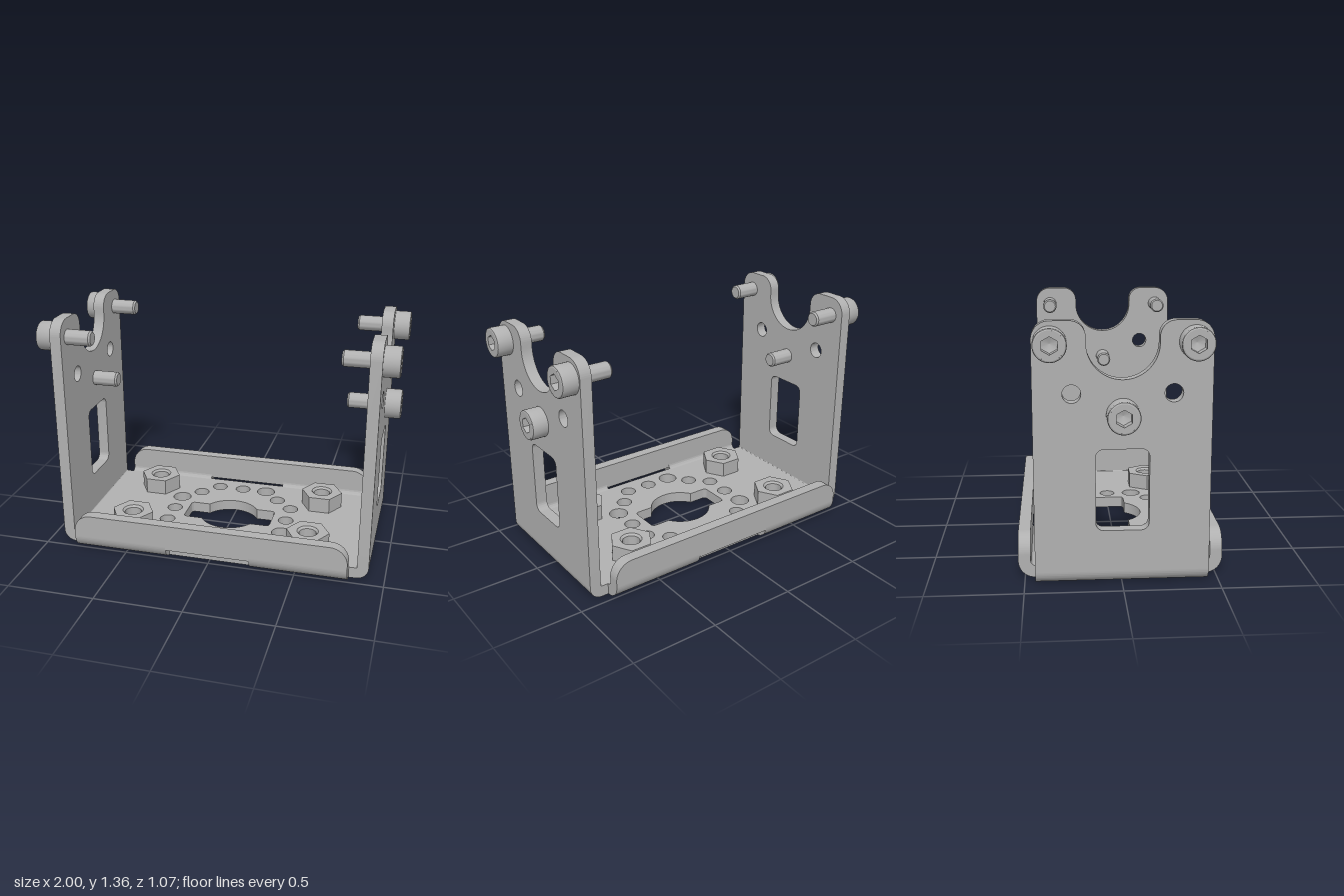
import * as THREE from 'three';
import { toCreasedNormals } from 'three/addons/utils/BufferGeometryUtils.js';

const T = 0.065;            // sheet thickness
const HALF_DEPTH = 0.445;   // half width of base and walls along z
const WALL_X = 0.91;        // outer face of the side walls
const FLANGE_Z = 0.535;     // outer face of the flanges
const HALF_PI = Math.PI / 2;

const steel = new THREE.MeshStandardMaterial({ color: 0xb0b0b0 });
steel.name = 'steel grey';

function mesh(name, geometry) {
  const m = new THREE.Mesh(toCreasedNormals(geometry, 0.6), steel);
  m.name = name;
  return m;
}

const extrude = (shape, depth) =>
  new THREE.ExtrudeGeometry(shape, { depth, bevelEnabled: false, curveSegments: 20 });

const circle = (x, y, r) => new THREE.Path().absarc(x, y, r, 0, Math.PI * 2, false);

const lathe = (points) =>
  new THREE.LatheGeometry(points.map(([x, y]) => new THREE.Vector2(x, y)), 36);

function hexPoints(r) {
  return Array.from({ length: 6 }, (_, i) =>
    new THREE.Vector2(r * Math.cos(i * Math.PI / 3), r * Math.sin(i * Math.PI / 3)));
}

function roundedRect(x0, y0, x1, y1, r) {
  const p = new THREE.Path();
  p.absarc(x1 - r, y0 + r, r, -HALF_PI, 0, false);
  p.absarc(x1 - r, y1 - r, r, 0, HALF_PI, false);
  p.absarc(x0 + r, y1 - r, r, HALF_PI, Math.PI, false);
  p.absarc(x0 + r, y0 + r, r, Math.PI, Math.PI * 1.5, false);
  p.closePath();
  return p;
}

// Quarter-round bend profile: flat sheet at y = 0 turning up to the outer face
function bendShape(outerFace, r) {
  const cx = outerFace - r;
  const s = new THREE.Shape();
  s.absarc(cx, r, r, -HALF_PI, 0, false);
  s.absarc(cx, r, r - T, 0, -HALF_PI, true);
  s.closePath();
  return s;
}

function basePlate() {
  const x = WALL_X - 0.07, z = HALF_DEPTH, tab = 0.245, tz = 0.46;
  const s = new THREE.Shape([
    [-x, -z], [-tab, -z], [-tab, -tz], [tab, -tz], [tab, -z], [x, -z],
    [x, z], [tab, z], [tab, tz], [-tab, tz], [-tab, z], [-x, z],
  ].map(([a, b]) => new THREE.Vector2(a, b)));

  // Central round opening with a slot across it
  const R = 0.18, h = 0.095, w = 0.27, c = 0.025, a = Math.asin(h / R);
  const slot = new THREE.Path();
  slot.absarc(0, 0, R, a, Math.PI - a, false);
  slot.lineTo(-w + c, h);
  slot.quadraticCurveTo(-w, h, -w, h - c);
  slot.lineTo(-w, -h + c);
  slot.quadraticCurveTo(-w, -h, -w + c, -h);
  slot.absarc(0, 0, R, Math.PI + a, Math.PI * 2 - a, false);
  slot.lineTo(w - c, -h);
  slot.quadraticCurveTo(w, -h, w, -h + c);
  slot.lineTo(w, h - c);
  slot.quadraticCurveTo(w, h, w - c, h);
  slot.closePath();
  s.holes.push(slot);

  // Ring of holes, repeated every quarter turn
  const quarter = [[-0.155, 0.356, 0.046], [0, 0.356, 0.046], [0.155, 0.356, 0.056], [0.252, 0.252, 0.046]];
  for (let k = 0; k < 4; k++) {
    const cs = Math.round(Math.cos(k * HALF_PI)), sn = Math.round(Math.sin(k * HALF_PI));
    for (const [px, py, r] of quarter) s.holes.push(circle(px * cs + py * sn, py * cs - px * sn, r));
  }
  for (const sx of [-1, 1]) for (const sy of [-1, 1]) s.holes.push(circle(sx * 0.535, sy * 0.267, 0.05));
  return mesh('basePlate', extrude(s, T).rotateX(-HALF_PI));
}

function nut() {
  const g = new THREE.Group();
  g.name = 'hexNut';
  const s = new THREE.Shape(hexPoints(0.126));
  s.holes.push(circle(0, 0, 0.062));
  g.add(mesh('nutBody', extrude(s, 0.095).rotateX(-HALF_PI)));
  g.add(mesh('nutBore', lathe([[0.062, 0.095], [0.05, 0.083], [0.05, 0]])));
  return g;
}

// Socket-head screw along +x, with the underside of its head at the origin
function screw() {
  const g = new THREE.Group();
  g.name = 'socketScrew';
  g.add(mesh('screwBody', lathe([
    [0, -0.215], [0.036, -0.215], [0.044, -0.205], [0.044, 0],
    [0.083, 0], [0.083, 0.081], [0.08, 0.087], [0.073, 0.09],
  ])));
  const ring = new THREE.Shape().absarc(0, 0, 0.073, 0, Math.PI * 2, false);
  ring.holes.push(new THREE.Path(hexPoints(0.044)));
  g.add(mesh('hexSocket', extrude(ring, 0.05).rotateX(-HALF_PI).translate(0, 0.04, 0)));
  g.add(mesh('socketFloor', lathe([[0.046, 0.04], [0, 0.02]])));
  g.rotation.z = -HALF_PI;
  return g;
}

function sideWall() {
  const g = new THREE.Group();
  const z = HALF_DEPTH, top = 1.355, n = 0.18, ro = 0.09, ri = 0.08, cy = 1.245;
  const s = new THREE.Shape();
  s.moveTo(-z, 0.07);
  s.lineTo(z, 0.07);
  s.absarc(z - ro, top - ro, ro, 0, HALF_PI, false);
  s.absarc(n + ri, top - ri, ri, HALF_PI, Math.PI, false);
  s.absarc(0, cy, n, 0, -Math.PI, true);
  s.absarc(-n - ri, top - ri, ri, 0, HALF_PI, false);
  s.absarc(-z + ro, top - ro, ro, HALF_PI, Math.PI, false);
  s.closePath();
  s.holes.push(roundedRect(-0.135, 0.29, 0.135, 0.715, 0.04),
    circle(-0.252, 0.997, 0.046), circle(0.252, 0.997, 0.046));
  g.add(mesh('wallPlate', extrude(s, T).rotateY(HALF_PI).translate(WALL_X - T, 0, 0)));
  g.add(mesh('wallBend', extrude(bendShape(WALL_X, 0.07), 2 * z).translate(0, 0, -z)));
  for (const [sy, sz] of [[1.248, -0.355], [1.248, 0.355], [0.89, 0]]) {
    const b = screw();
    b.position.set(WALL_X, sy, sz);
    g.add(b);
  }
  return g;
}

function flange() {
  const g = new THREE.Group();
  const x = 0.8, gap = 0.245, r = 0.09, top = 0.225, c = 0.1;
  // Upright lip with rounded ends and a short relief edge over the gap in the bend
  const s = new THREE.Shape();
  s.moveTo(-x, r);
  s.lineTo(-gap, r);
  s.lineTo(-gap, 0.07);
  s.lineTo(gap, 0.07);
  s.lineTo(gap, r);
  s.lineTo(x, r);
  s.absarc(x - c, top - c, c, 0, HALF_PI, false);
  s.absarc(-x + c, top - c, c, HALF_PI, Math.PI, false);
  s.closePath();
  g.add(mesh('flangeLip', extrude(s, T).translate(0, 0, FLANGE_Z - T)));
  for (const end of [-gap, x]) {
    g.add(mesh('flangeBend', extrude(bendShape(FLANGE_Z, r), x - gap).rotateY(-HALF_PI).translate(end, 0, 0)));
  }
  return g;
}

export function createModel() {
  const model = new THREE.Group();
  model.name = 'mountingBracket';
  model.add(basePlate());

  // Opposite walls and flanges are half-turn copies
  for (const [i, side] of ['left', 'right'].entries()) {
    const w = sideWall();
    w.name = side + 'Wall';
    w.rotation.y = i * Math.PI;
    model.add(w);
  }
  for (const [i, side] of ['front', 'back'].entries()) {
    const f = flange();
    f.name = side + 'Flange';
    f.rotation.y = i * Math.PI;
    model.add(f);
  }
  for (const sx of [-1, 1]) for (const sz of [-1, 1]) {
    const n = nut();
    n.position.set(sx * 0.535, T, sz * 0.267);
    model.add(n);
  }
  return model;
}
